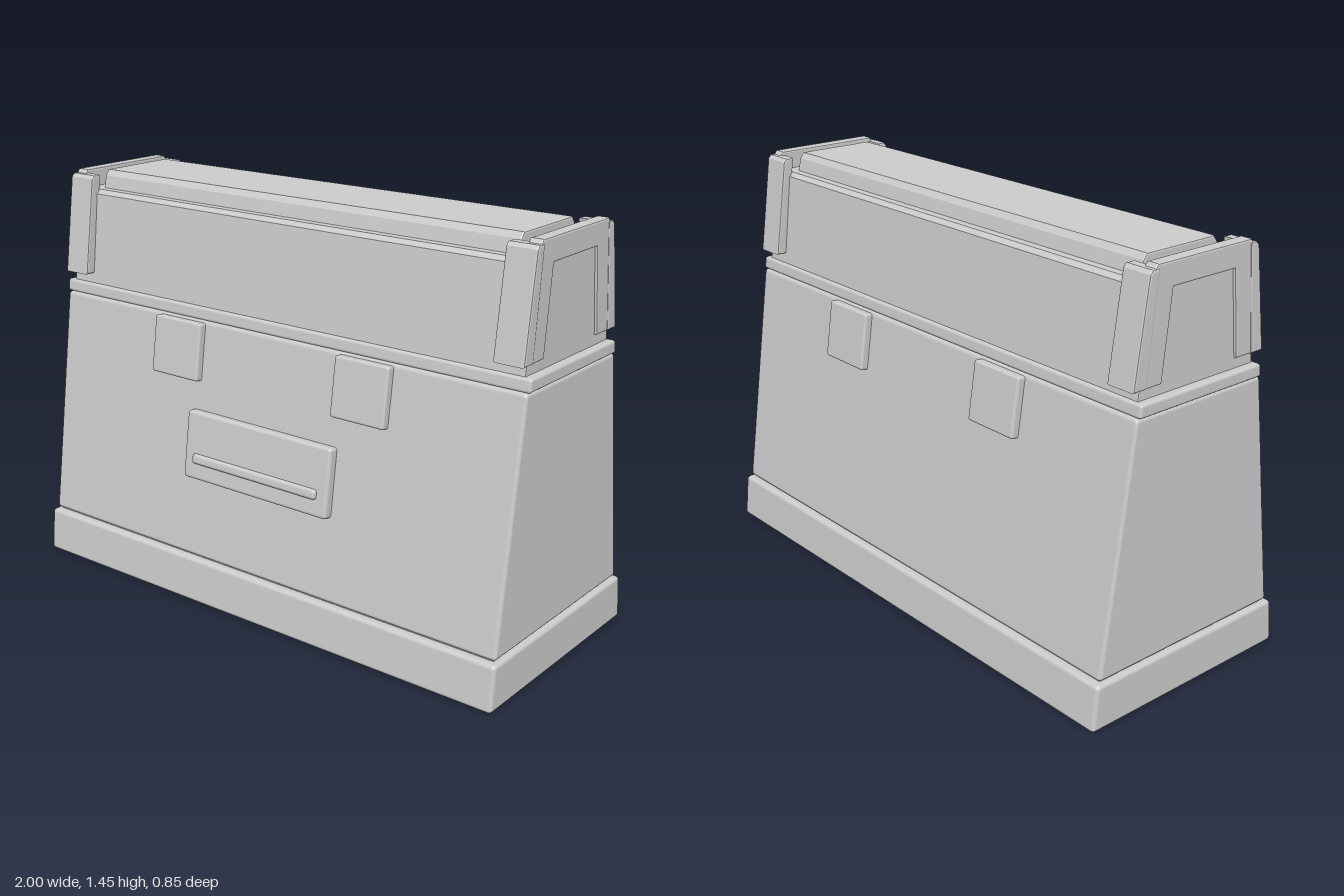
import * as THREE from 'three';
import { RoundedBoxGeometry } from 'three/addons/geometries/RoundedBoxGeometry.js';

const material = new THREE.MeshStandardMaterial({ color: 0xcccccc });

function addMesh(parent, name, geometry) {
  const mesh = new THREE.Mesh(geometry, material);
  mesh.name = name;
  parent.add(mesh);
  return mesh;
}

// Rounded box from y0 to y1 whose half depth goes from z0 (bottom) to z1 (top)
function taperedBox(halfX, y0, y1, z0, z1, radius) {
  const h = y1 - y0;
  const geo = new RoundedBoxGeometry(halfX * 2, h, z0 * 2, 2, radius);
  const p = geo.attributes.position, n = geo.attributes.normal;
  const k = (z1 / z0 - 1) / h;
  const normal = new THREE.Vector3();
  for (let i = 0; i < p.count; i++) {
    const z = p.getZ(i), s = 1 + k * (p.getY(i) + h / 2);
    normal.fromBufferAttribute(n, i);
    normal.y -= normal.z * z * k / s;
    normal.z /= s;
    normal.normalize();
    n.setXYZ(i, normal.x, normal.y, normal.z);
    p.setZ(i, z * s);
  }
  return geo.translate(0, (y0 + y1) / 2, 0);
}

// Extrudes a [z, y] profile along x from x0 to x1 with a small bevel
function profileAlongX(points, x0, x1, bevel) {
  const shape = new THREE.Shape(points.map(([z, y]) => new THREE.Vector2(-z, y)));
  const geo = new THREE.ExtrudeGeometry(shape, {
    depth: x1 - x0 - 2 * bevel, bevelEnabled: true, bevelThickness: bevel,
    bevelSize: bevel, bevelOffset: -bevel, bevelSegments: 2,
  });
  return geo.rotateY(Math.PI / 2).translate(x0 + bevel, 0, 0);
}

// Half depth of the body's sloping front at height y
const BODY = { y0: 0.165, y1: 1.0, z0: 0.393, z1: 0.273 };
const slope = (BODY.z0 - BODY.z1) / (BODY.y1 - BODY.y0);
const bodyZ = (y) => BODY.z0 - (y - BODY.y0) * slope;

// Group lying on the sloping body face at (x, y), +z pointing outward
function faceMount(parent, name, x, y, side) {
  const turn = new THREE.Group();
  turn.name = name;
  turn.rotation.y = side > 0 ? 0 : Math.PI;
  const tilt = new THREE.Group();
  tilt.name = name + 'Mount';
  tilt.position.set(x, y, bodyZ(y));
  tilt.rotation.x = -Math.atan(slope);
  turn.add(tilt);
  parent.add(turn);
  return tilt;
}

export function createModel() {
  const model = new THREE.Group();
  model.name = 'taperedChest';

  // Plinth, body and rim
  addMesh(model, 'base', taperedBox(0.998, 0, 0.16, 0.425, 0.408, 0.014));
  addMesh(model, 'baseSeam', taperedBox(0.975, 0.12, 0.2, 0.385, 0.374, 0.005));
  addMesh(model, 'body', taperedBox(0.988, BODY.y0, BODY.y1, BODY.z0, BODY.z1, 0.014));
  addMesh(model, 'rim', taperedBox(0.995, 1.0, 1.045, 0.27, 0.265, 0.01));

  // Lid with a narrow ledge and a raised top panel
  addMesh(model, 'lid', profileAlongX([
    [0.255, 1.03], [0.215, 1.37], [0.2, 1.385], [0.14, 1.385],
    [-0.14, 1.385], [-0.2, 1.385], [-0.215, 1.37], [-0.255, 1.03],
  ], -0.967, 0.967, 0.004));
  addMesh(model, 'lidTopPanel', profileAlongX([
    [0.175, 1.36], [0.16, 1.43], [0.145, 1.45],
    [-0.145, 1.45], [-0.16, 1.43], [-0.175, 1.36],
  ], -0.88, 0.88, 0.006));

  // End frames and corner posts
  for (const side of [-1, 1]) {
    const span = (a, b) => (side > 0 ? [a, b] : [-b, -a]);
    const name = side > 0 ? 'left' : 'right';
    addMesh(model, name + 'EndFrame', profileAlongX([
      [0.26, 1.08], [0.212, 1.435], [0.2, 1.45], [-0.2, 1.45], [-0.212, 1.435], [-0.26, 1.08],
      [-0.165, 1.08], [-0.133, 1.37], [0.133, 1.37], [0.165, 1.08],
    ], ...span(0.93, 0.977), 0.006));
    for (const face of [-1, 1]) {
      const post = [[0.285, 1.08], [0.236, 1.425], [0.225, 1.437], [0.195, 1.437], [0.23, 1.08]];
      const points = post.map(([z, y]) => [z * face, y]);
      addMesh(model, name + (face > 0 ? 'Front' : 'Back') + 'Post',
        profileAlongX(points, ...span(0.87, 0.98), 0.007));
    }
  }

  // Latch plates on the front and the back
  for (const face of [-1, 1]) {
    for (const x of [-0.4, 0.4]) {
      const mount = faceMount(model, face > 0 ? 'frontLatch' : 'backLatch', x, 0.892, face);
      addMesh(mount, 'latchPlate', new RoundedBoxGeometry(0.215, 0.205, 0.056, 2, 0.009));
    }
  }

  // Front handle plate with its grip bar
  const handle = faceMount(model, 'handle', 0, 0.57, 1);
  addMesh(handle, 'handlePlate', new RoundedBoxGeometry(0.635, 0.242, 0.066, 2, 0.012));
  const bar = addMesh(handle, 'handleBar', new RoundedBoxGeometry(0.55, 0.036, 0.03, 2, 0.012));
  bar.position.set(0, -0.045, 0.03);

  return model;
}
